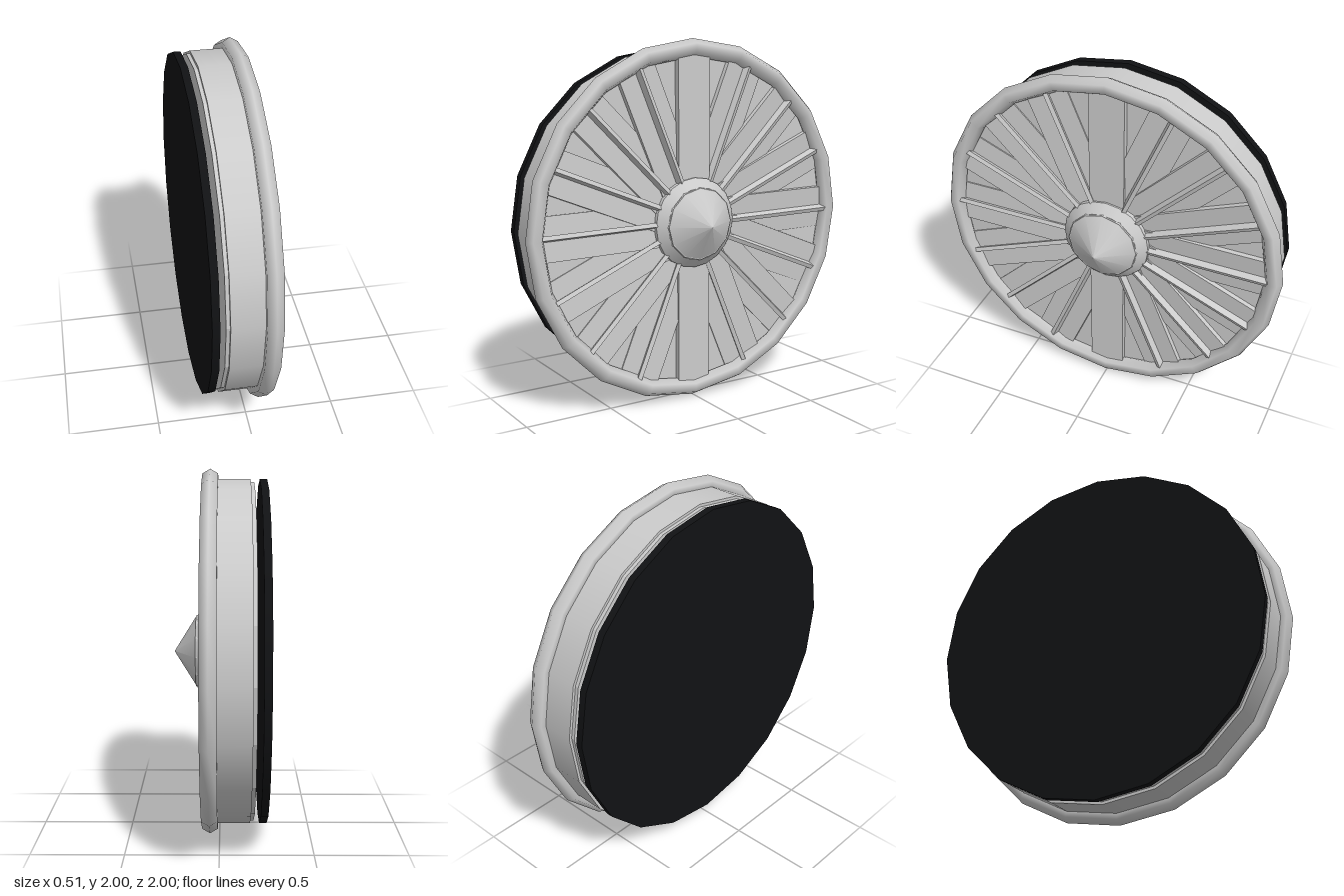
import * as THREE from 'three';

const SIDES = 20;
const BLADES = 16;

export function createModel() {
  const model = new THREE.Group();
  const wheel = new THREE.Group();
  wheel.name = 'fanWheel';
  wheel.position.y = 1;
  model.add(wheel);

  const grey = new THREE.MeshStandardMaterial({ color: 0xcccccc });
  const flatGrey = new THREE.MeshStandardMaterial({ color: 0xcccccc, flatShading: true });
  const black = new THREE.MeshStandardMaterial({ color: 0x111214 });

  function add(name, geometry, material, parent = wheel) {
    const mesh = new THREE.Mesh(geometry, material);
    mesh.name = name;
    parent.add(mesh);
  }

  // Drum-like part lying along x, from x0 (radius r0) to x1 (radius r1)
  function drum(name, x0, x1, r0, r1, sides, material) {
    const g = new THREE.CylinderGeometry(r1, r0, x1 - x0, sides);
    g.rotateZ(-Math.PI / 2).translate((x0 + x1) / 2, 0, 0);
    add(name, g, material);
  }

  // Detached dark disc at the back, blade backs and the casing
  drum('backDisc', -0.255, -0.215, 0.945, 0.945, SIDES, black);
  drum('bladeBacks', -0.185, -0.16, 0.93, 0.93, SIDES, flatGrey);
  drum('casing', -0.165, 0.035, 0.945, 0.945, SIDES, grey);

  // Six-sided lip around the open face
  const lip = new THREE.TorusGeometry(0.951, 0.049, 6, SIDES);
  lip.rotateY(Math.PI / 2).translate(0.052, 0, 0);
  add('rimLip', lip, grey);

  // Radial blades: upright ones are flat and raised, the others lean and carry a rib
  for (let i = 0; i < BLADES; i++) {
    const blade = new THREE.Group();
    blade.name = 'blade';
    blade.rotation.x = (i / BLADES) * Math.PI * 2;
    wheel.add(blade);

    const upright = i % 8 === 0;
    const panel = new THREE.BoxGeometry(0.06, 0.7, upright ? 0.2 : 0.24);
    panel.translate(-0.03, 0.57, 0);
    panel.rotateY(upright ? 0 : 0.08).translate(upright ? 0.07 : 0.052, 0, 0);
    add('bladePanel', panel, flatGrey, blade);

    if (!upright) {
      const rib = new THREE.BoxGeometry(0.07, 0.7, 0.024);
      rib.rotateY(0.4).translate(0.05, 0.57, 0);
      add('bladeRib', rib, flatGrey, blade);
    }
  }

  // Hub collar and pointed nose
  drum('hubBase', 0.03, 0.08, 0.25, 0.25, SIDES, grey);
  drum('hubCollar', 0.08, 0.125, 0.25, 0.2, SIDES, grey);
  drum('noseBase', 0.115, 0.132, 0.205, 0.2, 12, flatGrey);
  const nose = new THREE.ConeGeometry(0.195, 0.12, 12);
  nose.rotateZ(-Math.PI / 2).translate(0.192, 0, 0);
  add('noseCone', nose, grey);

  return model;
}
